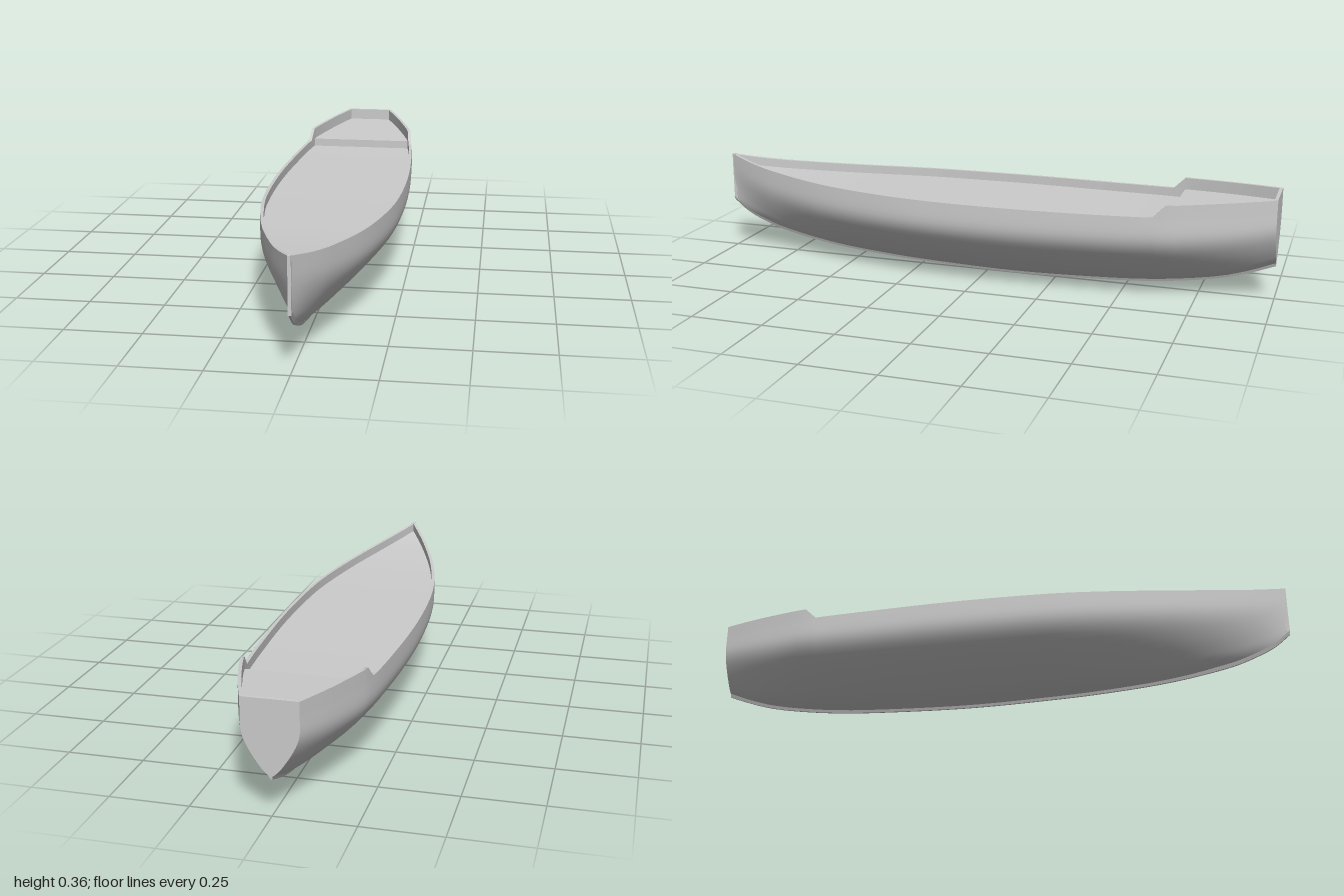
import * as THREE from 'three';

// Smooth curve through [position, value] pairs, in rising position
function curve(pts) {
  const slope = i => {
    const a = pts[Math.max(0, i - 1)], b = pts[Math.min(pts.length - 1, i + 1)];
    return (b[1] - a[1]) / (b[0] - a[0]);
  };
  return p => {
    let i = 0;
    while (i < pts.length - 2 && p > pts[i + 1][0]) i++;
    const [p0, v0] = pts[i], [p1, v1] = pts[i + 1];
    const h = p1 - p0, t = Math.min(1, Math.max(0, (p - p0) / h));
    const t2 = t * t, t3 = t2 * t;
    return v0 * (2 * t3 - 3 * t2 + 1) + slope(i) * h * (t3 - 2 * t2 + t)
      + v1 * (3 * t2 - 2 * t3) + slope(i + 1) * h * (t3 - t2);
  };
}

// Hull lines along z: half beam, sheer and keel bottom
const beam = curve([[-1, 0.087], [-0.9, 0.126], [-0.8, 0.16], [-0.65, 0.201], [-0.4, 0.224], [-0.1, 0.236],
  [0.2, 0.227], [0.4, 0.2], [0.6, 0.155], [0.8, 0.09], [0.9, 0.05], [1, 0.004]]);
const sheer = curve([[-1, 0.318], [-0.62, 0.302], [0, 0.298], [0.4, 0.302], [0.6, 0.308], [0.8, 0.322],
  [0.9, 0.334], [1, 0.352]]);
const keelLine = curve([[-1, 0.115], [-0.9, 0.077], [-0.8, 0.05], [-0.6, 0.021], [-0.4, 0.008], [-0.1, 0],
  [0.2, 0.007], [0.4, 0.018], [0.6, 0.038], [0.8, 0.076], [0.9, 0.112], [0.95, 0.138], [1, 0.178]]);
// Share of the half beam against share of the height
const fullness = curve([[0, 0], [0.04, 0.12], [0.1, 0.26], [0.16, 0.37], [0.33, 0.63], [0.5, 0.84],
  [0.62, 0.945], [0.72, 0.99], [0.82, 1], [1, 0.995]]);

const STEP = -0.66, NOTCH = -0.62, WALL = 0.012;
// Rail top, with the slanted rise to the raised stern
const rail = z => z >= NOTCH ? sheer(z)
  : z >= STEP ? 0.302 + 0.04 * (NOTCH - z) / (NOTCH - STEP)
    : 0.342 + 0.018 * (STEP - z) / (1 + STEP);
const inner = z => Math.max(0, beam(z) - WALL);

// Stations from a to b, packed more closely at the bow
function stations(a, b, n = 60) {
  const list = [STEP, NOTCH].filter(z => z > a && z < b);
  for (let i = 0; i <= n; i++) list.push(a + (b - a) * Math.sin(i / n * Math.PI / 2));
  return list.sort((p, q) => p - q);
}

// Surface joining one row of points per station
function loft(zs, section) {
  const pos = [], index = [];
  let m = 0;
  zs.forEach((z, i) => {
    const row = section(z);
    m = row.length;
    row.forEach(([x, y]) => pos.push(x, y, z));
    if (i) for (let j = 0; j < m - 1; j++) {
      const a = (i - 1) * m + j, b = i * m + j;
      index.push(a, a + 1, b, a + 1, b + 1, b);
    }
  });
  const g = new THREE.BufferGeometry();
  g.setAttribute('position', new THREE.Float32BufferAttribute(pos, 3));
  g.setIndex(index);
  g.computeVertexNormals();
  return g;
}

// Half section from the keel up to the rail, s = +1 or -1
function halfSection(z, s) {
  const y0 = keelLine(z) + 0.006, y1 = sheer(z), pts = [];
  for (let j = 0; j <= 20; j++) {
    const t = Math.pow(j / 20, 1.3);
    pts.push([s * beam(z) * fullness(t), y0 + (y1 - y0) * t]);
  }
  pts.push([s * beam(z) * 0.995, Math.max(rail(z), y1 + 0.0001)]);
  return pts;
}

export function createModel() {
  const model = new THREE.Group();
  const grey = new THREE.MeshStandardMaterial({ color: 0xcccccc, side: THREE.DoubleSide });
  grey.name = 'hull grey';
  const add = (name, geometry) => {
    const mesh = new THREE.Mesh(geometry, grey);
    mesh.name = name;
    model.add(mesh);
    return mesh;
  };

  // Planking, rail caps and inner bulwarks on both sides
  const all = stations(-1, 0.996);
  for (const s of [1, -1]) {
    const side = s > 0 ? 'left' : 'right';
    const order = row => s > 0 ? row : row.reverse();
    add(side + 'Planking', loft(all, z => order(halfSection(z, s))));
    add(side + 'RailCap', loft(all, z => order([[s * beam(z) * 0.995, rail(z)], [s * inner(z), rail(z)]])));
    add(side + 'Bulwark', loft(all, z => order([[s * inner(z), rail(z)], [s * inner(z), sheer(z) - 0.035]])));
  }

  // Decks and the riser between them
  const mainDeck = z => sheer(z) - 0.03;
  const sternDeck = z => rail(z) - 0.04;
  const deckRow = f => z => [[inner(z) + 0.001, f(z)], [-inner(z) - 0.001, f(z)]];
  add('mainDeck', loft(stations(STEP, 0.99), deckRow(mainDeck)));
  add('sternDeck', loft(stations(-1, STEP, 16), deckRow(sternDeck)));
  const rise = sternDeck(STEP) - mainDeck(STEP);
  add('deckRiser', new THREE.PlaneGeometry(2 * inner(STEP), rise))
    .position.set(0, mainDeck(STEP) + rise / 2, STEP);

  // Flat transom following the last section, with an inner face and cap
  const outline = [...halfSection(-1, 1), ...halfSection(-1, -1).reverse()];
  const transom = new THREE.ShapeGeometry(new THREE.Shape(outline.map(([x, y]) => new THREE.Vector2(-x, y))));
  transom.rotateY(Math.PI);
  add('transom', transom).position.z = -1;
  add('transomBulwark', new THREE.BoxGeometry(0.165, 0.05, WALL - 0.001))
    .position.set(0, 0.335, -1 + WALL / 2);

  // Keel strip and upright stem post
  add('keel', loft(stations(-1, 1), z => {
    const y = keelLine(z);
    return [[0.008, y + 0.012], [0.003, y], [-0.003, y], [-0.008, y + 0.012]];
  }).toNonIndexed()).geometry.computeVertexNormals();
  add('stemPost', new THREE.BoxGeometry(0.01, 0.174, 0.012)).position.set(0, 0.265, 0.994);

  return model;
}
